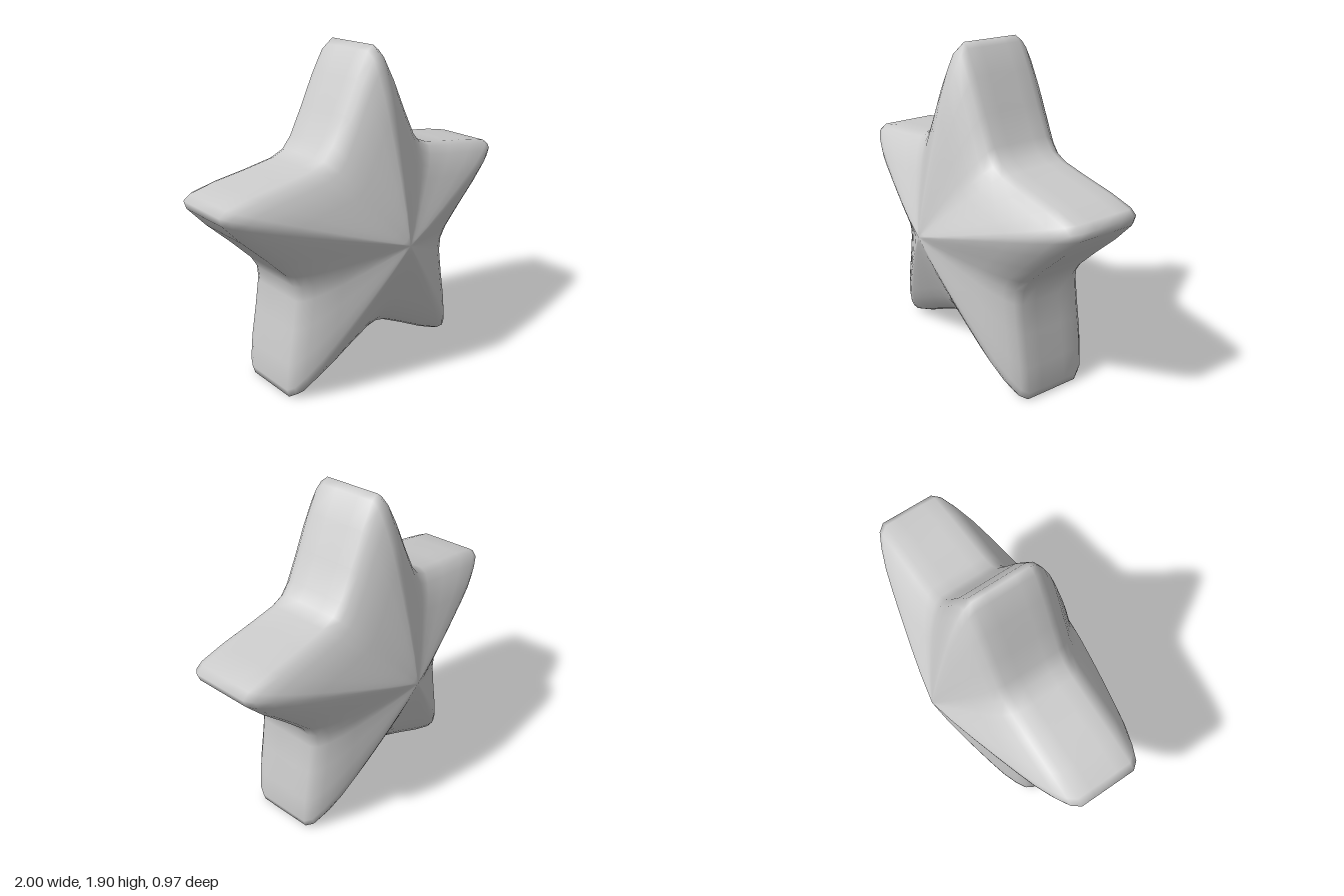
import * as THREE from 'three';

const CENTRE_Y = 0.85;

// Half of one arm: [distance along the arm, sideways offset], tip to valley
const HALF_ARM = [
  [1.05, 0], [1.02, 0.04], [0.885, 0.118], [0.705, 0.205], [0.545, 0.288], [0.477, 0.347],
];

// Front half of the body: [outline scale, z], from near the apex to the rim
const FRONT = [
  [0.06, 0.474], [0.17, 0.453], [0.34, 0.413], [0.5, 0.372], [0.65, 0.332],
  [0.77, 0.297], [0.885, 0.253], [0.965, 0.212], [1, 0.167],
];

// Five-armed outline, counter-clockwise seen from the front
function starOutline() {
  const points = [];
  for (let arm = 0; arm < 5; arm++) {
    const angle = Math.PI / 2 + arm * Math.PI * 2 / 5;
    const add = (u, v) => points.push(new THREE.Vector2(u, v).rotateAround(new THREE.Vector2(), angle));
    // right side of the arm (its valley belongs to the previous arm), then left side
    for (let i = HALF_ARM.length - 2; i > 0; i--) add(HALF_ARM[i][0], -HALF_ARM[i][1]);
    for (const [u, v] of HALF_ARM) add(u, v);
  }
  return points;
}

// Loft scaled star outlines from the front apex to the back apex
function starGeometry() {
  const outline = starOutline();
  const n = outline.length;
  const back = FRONT.map(([s, z]) => [s, -z]).reverse();
  const rings = [...FRONT, [1, 0.08], [1, -0.08], ...back];

  const positions = [0, CENTRE_Y, 0.485];
  for (const [s, z] of rings) {
    for (const p of outline) positions.push(p.x * s, CENTRE_Y + p.y * s, z);
  }
  positions.push(0, CENTRE_Y, -0.485);

  const last = 1 + rings.length * n;
  const at = (ring, j) => 1 + ring * n + (j % n);
  const index = [];
  for (let j = 0; j < n; j++) {
    index.push(0, at(0, j), at(0, j + 1));
    for (let r = 0; r < rings.length - 1; r++) {
      const a = at(r, j), b = at(r, j + 1), c = at(r + 1, j), d = at(r + 1, j + 1);
      index.push(a, c, d, a, d, b);
    }
    index.push(last, at(rings.length - 1, j + 1), at(rings.length - 1, j));
  }

  const geometry = new THREE.BufferGeometry();
  geometry.setAttribute('position', new THREE.Float32BufferAttribute(positions, 3));
  geometry.setIndex(index);
  geometry.computeVertexNormals();
  return geometry;
}

export function createModel() {
  const group = new THREE.Group();
  group.name = 'star';
  const body = new THREE.Mesh(starGeometry(), new THREE.MeshStandardMaterial({ color: 0xcccccc }));
  body.name = 'starBody';
  group.add(body);
  return group;
}
